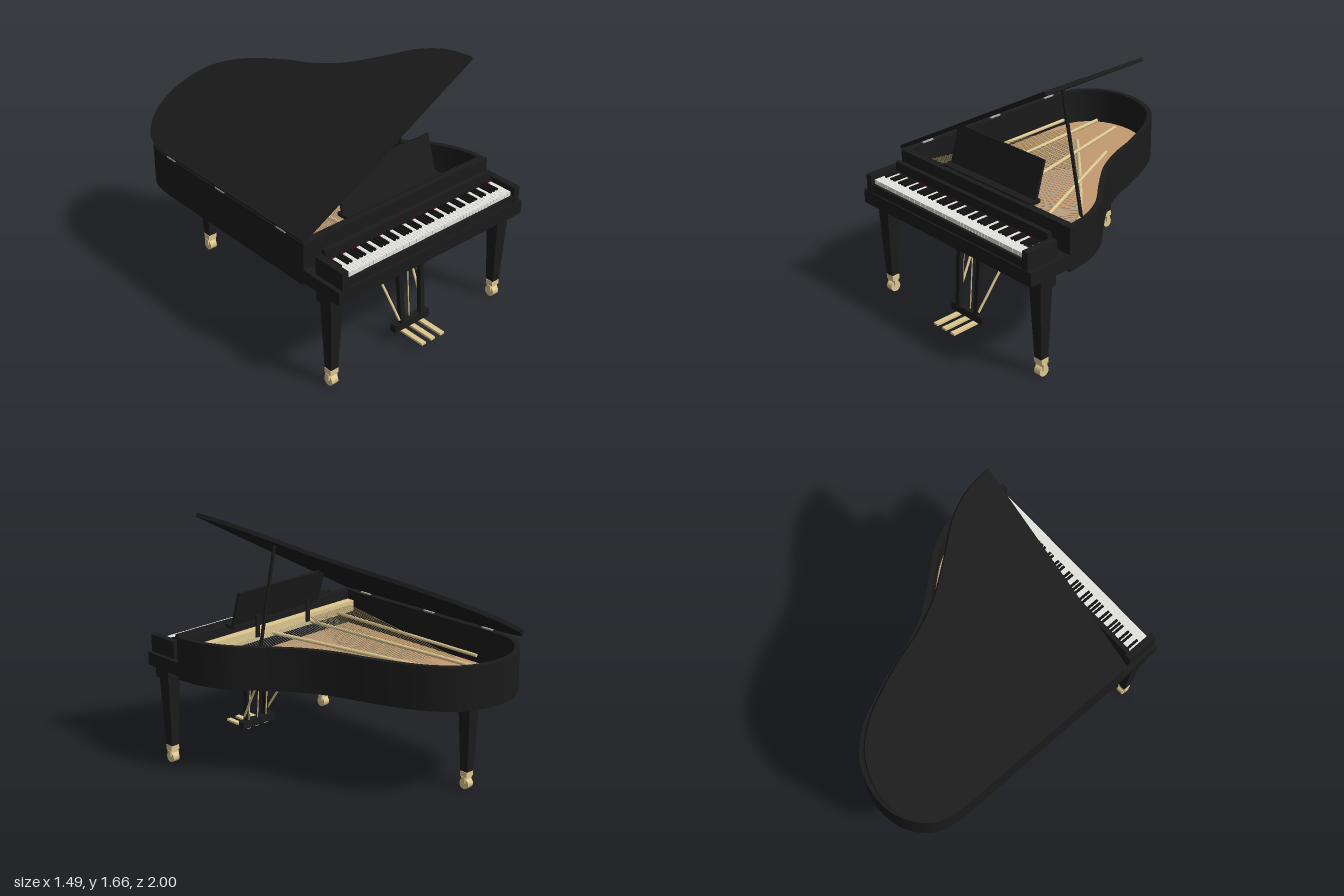
import * as THREE from 'three';
import { mergeGeometries, toCreasedNormals } from 'three/addons/utils/BufferGeometryUtils.js';

const mat = (name, color) => Object.assign(new THREE.MeshStandardMaterial({ color }), { name });

export function createModel() {
  const model = new THREE.Group();
  model.name = 'grandPiano';
  const black = mat('black lacquer', 0x1b1b1b);
  const ebony = mat('ebony keys', 0x121212);
  const ivory = mat('ivory keys', 0xe4e4e0);
  const brass = mat('brass', 0xdfc890);
  const steel = mat('steel', 0xb0b0aa);
  const wood = mat('soundboard wood', 0xc39b70);
  const red = mat('red felt', 0x8c2028);
  const wire = mat('wound string wire', 0xb09a6a);

  const add = (name, geo, material, parent = model) => {
    const mesh = new THREE.Mesh(geo, material);
    mesh.name = name;
    parent.add(mesh);
    return mesh;
  };
  // Box given by its limits on each axis
  const boxGeo = (x0, x1, y0, y1, z0, z1) =>
    new THREE.BoxGeometry(x1 - x0, y1 - y0, z1 - z0)
      .translate((x0 + x1) / 2, (y0 + y1) / 2, (z0 + z1) / 2);
  // Straight rod between two points
  const rodGeo = (a, b, r, sides = 8) => {
    const p = new THREE.Vector3(...a), q = new THREE.Vector3(...b);
    const dir = q.clone().sub(p);
    const turn = new THREE.Quaternion().setFromUnitVectors(new THREE.Vector3(0, 1, 0), dir.clone().normalize());
    return new THREE.CylinderGeometry(r, r, dir.length(), sides)
      .applyQuaternion(turn).translate((p.x + q.x) / 2, (p.y + q.y) / 2, (p.z + q.z) / 2);
  };

  // Case outline in plan: shape y is -z
  const plan = new THREE.Shape();
  plan.moveTo(-0.74, -0.68);
  plan.lineTo(0.745, -0.68);
  plan.splineThru([
    [0.722, -0.5], [0.642, -0.325], [0.49, -0.14], [0.35, 0.045], [0.255, 0.24], [0.198, 0.42],
    [0.118, 0.62], [0.025, 0.79], [-0.115, 0.928], [-0.315, 0.998], [-0.5, 0.985], [-0.638, 0.905],
    [-0.715, 0.795], [-0.74, 0.65],
  ].map(([x, y]) => new THREE.Vector2(x, y)));
  const outline = plan.getPoints(5).filter((p, i, all) => !i || p.distanceTo(all[i - 1]) > 1e-4);
  const inset = (d) => outline.map((p, i) => {
    const n = outline.length;
    const a = p.clone().sub(outline[(i + n - 1) % n]).normalize();
    const b = outline[(i + 1) % n].clone().sub(p).normalize();
    const k = d / (1 + a.dot(b));
    return new THREE.Vector2(p.x - (a.y + b.y) * k, p.y + (a.x + b.x) * k);
  });
  const slab = (shape, y0, y1) => toCreasedNormals(
    new THREE.ExtrudeGeometry(shape, { depth: y1 - y0, bevelEnabled: false })
      .rotateX(-Math.PI / 2).translate(0, y0, 0), 0.5);

  // Rim, front beam and soundboard
  const rimShape = new THREE.Shape(outline);
  rimShape.holes.push(new THREE.Path(inset(0.034)));
  add('rim', slab(rimShape, 0.63, 0.908), black);
  add('frontBeam', boxGeo(-0.72, 0.715, 0.631, 0.907, 0.63, 0.66), black);
  add('soundboard', slab(new THREE.Shape(inset(0.033)), 0.645, 0.675), wood);

  // Raised lid, hinged along the straight side
  const lid = new THREE.Group();
  lid.name = 'lid';
  lid.position.set(-0.737, 0.913, 0);
  lid.rotation.z = THREE.MathUtils.degToRad(29.2);
  model.add(lid);
  add('lidPanel', slab(new THREE.Shape(outline), 0, 0.025).translate(0.74, 0, 0), black, lid);
  for (const z of [0.48, -0.09, -0.58]) add('hinge', boxGeo(-0.742, -0.718, 0.906, 0.917, z - 0.04, z + 0.04), steel);
  add('lidProp', rodGeo([0.449, 0.675, 0.28], [0.283, 1.482, 0.28], 0.011), black);

  // Plate, bars, bridge and strings
  add('pinBlock', boxGeo(-0.705, 0.705, 0.77, 0.845, 0.575, 0.63), brass);
  for (const [x0, x1, z1] of [[0.42, -0.03, -0.42], [0.04, -0.27, -0.76], [-0.3, -0.44, -0.76], [-0.55, -0.6, -0.6]]) {
    add('plateBar', rodGeo([x0, 0.79, 0.59], [x1, 0.77, z1], 0.012), brass);
  }
  const bridge = new THREE.CatmullRomCurve3([[0.6, 0.57], [0.43, 0.29], [0.05, -0.1], [-0.37, -0.5]]
    .map(([x, z]) => new THREE.Vector3(x, 0.72, z)));
  add('bridge', new THREE.TubeGeometry(bridge, 30, 0.014, 6), brass);
  const treble = [], bass = [];
  for (let i = 0; i < 60; i++) {
    const t = i / 59, end = bridge.getPoint(0.06 + 0.94 * t);
    treble.push(rodGeo([0.6 - 1.05 * t, 0.8, 0.59], [end.x, 0.735, end.z], 0.0015, 3));
  }
  for (let i = 0; i < 30; i++) {
    const t = i / 29;
    bass.push(rodGeo([-0.67 + 0.36 * t, 0.82, 0.59], [-0.48 + 0.48 * t, 0.77, -0.53 + 0.41 * t], 0.0018, 3));
  }
  add('trebleStrings', mergeGeometries(treble), steel);
  add('bassStrings', mergeGeometries(bass), wire);

  // Music desk
  add('deskShelf', boxGeo(-0.38, 0.385, 0.895, 0.918, 0.56, 0.645), black);
  const desk = add('musicDesk', boxGeo(-0.368, 0.377, 0, 0.244, -0.008, 0.008), black);
  desk.position.set(0, 0.913, 0.585);
  desk.rotation.x = -0.29;
  for (const x of [-0.22, 0.22]) add('deskSupport', boxGeo(x - 0.015, x + 0.015, 0.82, 0.97, 0.515, 0.525), black);

  // Keybed, cheeks, fallboard
  add('keybed', boxGeo(-0.74, 0.745, 0.65, 0.737, 0.675, 0.98), black);
  for (const x of [-0.69, 0.695]) {
    add('cheek', boxGeo(x - 0.0225, x + 0.0225, 0.737, 0.85, 0.751, 0.976), black);
  }
  add('fallboard', boxGeo(-0.668, 0.673, 0.737, 0.885, 0.753, 0.783), black);
  add('keySlip', boxGeo(-0.668, 0.673, 0.737, 0.79, 0.953, 0.97), black);
  add('keyFrame', boxGeo(-0.668, 0.673, 0.737, 0.789, 0.783, 0.953), ebony);
  add('feltStrip', boxGeo(-0.667, 0.672, 0.811, 0.816, 0.783, 0.79), red);

  // 52 white keys, 36 black keys
  const step = 1.338 / 52, whites = [], blacks = [];
  for (let i = 0; i < 52; i++) {
    const x = -0.667 + i * step;
    whites.push(boxGeo(x + 0.0007, x + step - 0.0007, 0.789, 0.817, 0.79, 0.951));
    // White key 0 is an A: no black key after B or E
    if (i < 51 && ![1, 4].includes(i % 7)) {
      blacks.push(boxGeo(x + step - 0.0075, x + step + 0.0075, 0.8, 0.828, 0.79, 0.885));
    }
  }
  add('whiteKeys', mergeGeometries(whites), ivory);
  add('blackKeys', mergeGeometries(blacks), ebony);

  // Tapered legs on brass casters
  const taper = toCreasedNormals(
    new THREE.CylinderGeometry(0.046 * Math.SQRT2, 0.028 * Math.SQRT2, 0.47, 4).rotateY(Math.PI / 4), 0.5)
    .translate(0, 0.355, 0);
  for (const [x, z, top] of [[-0.678, 0.848, 0.655], [0.684, 0.848, 0.655], [-0.348, -0.758, 0.65]]) {
    const leg = new THREE.Group();
    leg.name = 'leg';
    leg.position.set(x, 0, z);
    model.add(leg);
    add('legBlock', boxGeo(-0.06, 0.06, 0.59, top, -0.06, 0.06), black, leg);
    add('legTaper', taper, black, leg);
    add('ferrule', boxGeo(-0.031, 0.031, 0.085, 0.12, -0.026, 0.026), brass, leg);
    add('casterFork', boxGeo(-0.034, 0.034, 0.045, 0.085, -0.015, 0.015), brass, leg);
    add('casterWheel', new THREE.CylinderGeometry(0.035, 0.035, 0.048, 20)
      .rotateZ(Math.PI / 2).translate(0, 0.035, 0), brass, leg);
  }

  // Pedal lyre
  const lyre = new THREE.Group();
  lyre.name = 'pedalLyre';
  lyre.position.x = 0.003;
  model.add(lyre);
  add('pedalBox', boxGeo(-0.141, 0.141, 0.077, 0.127, 0.773, 0.82), black, lyre);
  for (const s of [-1, 1]) {
    const post = add('lyrePost', new THREE.BoxGeometry(0.032, 0.545, 0.032), black, lyre);
    post.position.set(s * 0.087, 0.39, 0.787);
    post.rotation.set(-0.08, 0, -s * 0.025);
    add('lyreBrace', rodGeo([s * 0.1, 0.15, 0.81], [s * 0.168, 0.65, 0.5], 0.008), brass, lyre);
  }
  for (const x of [-0.077, 0, 0.077]) {
    add('pedalRod', rodGeo([x, 0.12, 0.79], [x, 0.66, 0.745], 0.004), brass, lyre);
    add('pedal', boxGeo(x - 0.017, x + 0.017, 0.064, 0.078, 0.79, 1), brass, lyre);
  }
  return model;
}
